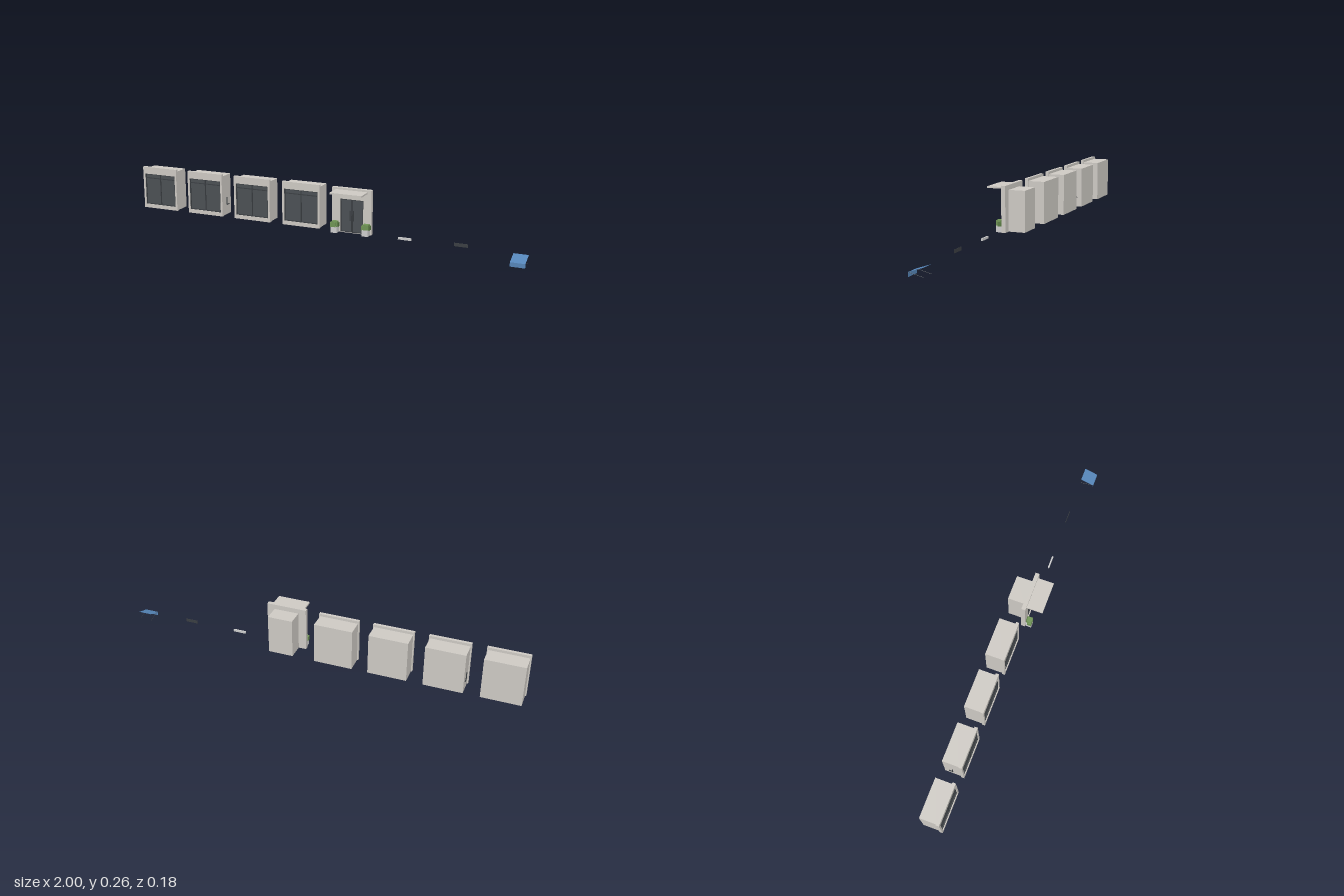
import * as THREE from 'three';

const paint = (color) => new THREE.MeshStandardMaterial({ color, flatShading: true, side: THREE.DoubleSide });
const wallMat = paint(0xcccccc);
const stoneMat = paint(0xcdc9c3);
const frameMat = paint(0x3a3e42);
const glassMat = paint(0x4b5054);
const leafMat = paint(0x6f9455);
const leafDarkMat = paint(0x587a42);
const blueMat = paint(0x5585b8);

const BASE = 0.042; // height at which the buildings stand
const STEP = 0.2663; // spacing between the pieces of the kit

// Box given by its limits on each axis
function box(parent, name, mat, x0, x1, y0, y1, z0, z1) {
  const mesh = new THREE.Mesh(new THREE.BoxGeometry(x1 - x0, y1 - y0, z1 - z0), mat);
  mesh.position.set((x0 + x1) / 2, (y0 + y1) / 2, (z0 + z1) / 2);
  mesh.name = name;
  parent.add(mesh);
  return mesh;
}

// Upright wall with a rectangular opening
function wallWithOpening(parent, name, halfWidth, top, open, z0, z1) {
  const shape = new THREE.Shape([
    new THREE.Vector2(-halfWidth, BASE), new THREE.Vector2(halfWidth, BASE),
    new THREE.Vector2(halfWidth, top), new THREE.Vector2(-halfWidth, top),
  ]);
  shape.holes.push(new THREE.Path([
    new THREE.Vector2(-open.half, open.y0), new THREE.Vector2(-open.half, open.y1),
    new THREE.Vector2(open.half, open.y1), new THREE.Vector2(open.half, open.y0),
  ]));
  const geo = new THREE.ExtrudeGeometry(shape, { depth: z1 - z0, bevelEnabled: false });
  const mesh = new THREE.Mesh(geo, stoneMat);
  mesh.position.z = z0;
  mesh.name = name;
  parent.add(mesh);
}

// Shop unit: block behind a parapet wall with a wide two-pane window
function shopUnit(x, withHandles) {
  const g = new THREE.Group();
  g.name = 'shopUnit';
  g.position.x = x;
  box(g, 'body', stoneMat, -0.094, 0.094, BASE, 0.245, -0.09, -0.009);
  wallWithOpening(g, 'facade', 0.099, 0.258, { half: 0.089, y0: 0.061, y1: 0.222 }, -0.009, 0.006);
  box(g, 'windowGlass', glassMat, -0.089, 0.089, 0.061, 0.222, -0.009, -0.003);
  for (const px of [-0.087, 0, 0.087]) {
    box(g, 'mullion', frameMat, px - 0.002, px + 0.002, 0.061, 0.222, -0.003, 0.002);
  }
  for (const py of [0.063, 0.2, 0.22]) {
    box(g, 'transom', frameMat, -0.089, 0.089, py - 0.002, py + 0.002, -0.003, 0.002);
  }
  if (withHandles) {
    for (const s of [-1, 1]) {
      const cx = s * 0.096;
      box(g, 'sideBar', frameMat, cx - 0.002, cx + 0.002, 0.09, 0.13, -0.05, -0.047);
      box(g, 'sideBarFoot', frameMat, cx - 0.002, cx + 0.002, 0.09, 0.094, -0.067, -0.047);
    }
  }
  return g;
}

// Potted shrub beside the entrance
function planter(x) {
  const g = new THREE.Group();
  g.name = 'planter';
  g.position.set(x, 0, 0.026);
  box(g, 'pot', wallMat, -0.015, 0.015, BASE, 0.073, -0.015, 0.015);
  box(g, 'shrub', leafMat, -0.019, 0.011, 0.07, 0.092, -0.004, 0.015);
  box(g, 'shrub', leafMat, -0.012, 0.016, 0.073, 0.098, -0.01, 0.013);
  box(g, 'shrub', leafDarkMat, -0.008, 0.019, 0.07, 0.09, -0.015, 0.004);
  return g;
}

// Entrance: narrow block, portal wall, double door, canopy and planters
function entrance(x) {
  const g = new THREE.Group();
  g.name = 'entrance';
  g.position.x = x;
  box(g, 'body', stoneMat, -0.061, 0.061, BASE, 0.235, -0.089, -0.009);
  const t = 0.011;
  wallWithOpening(g, 'portalWall', 0.099, 0.258, { half: 0.059, y0: BASE + 0.0005, y1: 0.205 }, -0.009, t);
  box(g, 'canopy', stoneMat, -0.08, 0.08, 0.241, 0.249, t, 0.09);
  for (const s of [-1, 1]) {
    const leaf = new THREE.Group();
    leaf.name = 'doorLeaf';
    box(leaf, 'doorGlass', glassMat, -0.029, 0.029, BASE, 0.205, -0.009, 0.003);
    for (const px of [-0.027, 0.027]) {
      box(leaf, 'doorStile', frameMat, px - 0.002, px + 0.002, BASE, 0.205, 0.003, 0.006);
    }
    for (const py of [0.045, 0.203]) {
      box(leaf, 'doorRail', frameMat, -0.029, 0.029, py - 0.002, py + 0.002, 0.003, 0.006);
    }
    leaf.position.x = s * 0.0295;
    g.add(leaf);
    box(g, 'doorHandle', frameMat, s * 0.009 - 0.0015, s * 0.009 + 0.0015, 0.1, 0.15, 0.005, 0.01);
    g.add(planter(s * 0.079));
  }
  return g;
}

// Awning: thin sloping sheet, hanging front flap and two stays
function awning(x) {
  const g = new THREE.Group();
  g.name = 'awning';
  g.position.x = x;
  const back = [0.042, 0.005], front = [0.02, 0.071]; // y, z
  const rise = back[0] - front[0], run = front[1] - back[1];
  const sheet = new THREE.Mesh(new THREE.PlaneGeometry(0.068, Math.hypot(rise, run)), blueMat);
  sheet.rotation.x = -Math.atan2(run, rise);
  sheet.position.set(0, (back[0] + front[0]) / 2, (back[1] + front[1]) / 2);
  sheet.name = 'awningSheet';
  const flap = new THREE.Mesh(new THREE.PlaneGeometry(0.068, 0.02), blueMat);
  flap.position.set(0, 0.01, front[1]);
  flap.name = 'awningFlap';
  g.add(sheet, flap);
  for (const s of [-1, 1]) {
    const path = new THREE.LineCurve3(
      new THREE.Vector3(s * 0.031, 0.004, back[1]), new THREE.Vector3(s * 0.031, 0.019, front[1]));
    const stay = new THREE.Mesh(new THREE.TubeGeometry(path, 1, 0.0009, 4), frameMat);
    stay.name = 'awningStay';
    g.add(stay);
  }
  return g;
}

export function createModel() {
  const model = new THREE.Group();
  model.name = 'shopKit';
  const first = -0.901;

  // Row of four shop units
  for (let i = 0; i < 4; i++) model.add(shopUnit(first + i * STEP, i === 1));
  model.add(entrance(first + 4 * STEP));

  // Loose ledge and dark panel
  const ledgeX = first + 5 * STEP;
  box(model, 'ledge', wallMat, ledgeX - 0.032, ledgeX + 0.032, BASE, 0.053, 0.011, 0.018);
  const panelX = first + 6 * STEP;
  box(model, 'darkPanel', frameMat, panelX - 0.032, panelX + 0.032, BASE, 0.058, 0.011, 0.0125);

  model.add(awning(0.966));
  return model;
}
